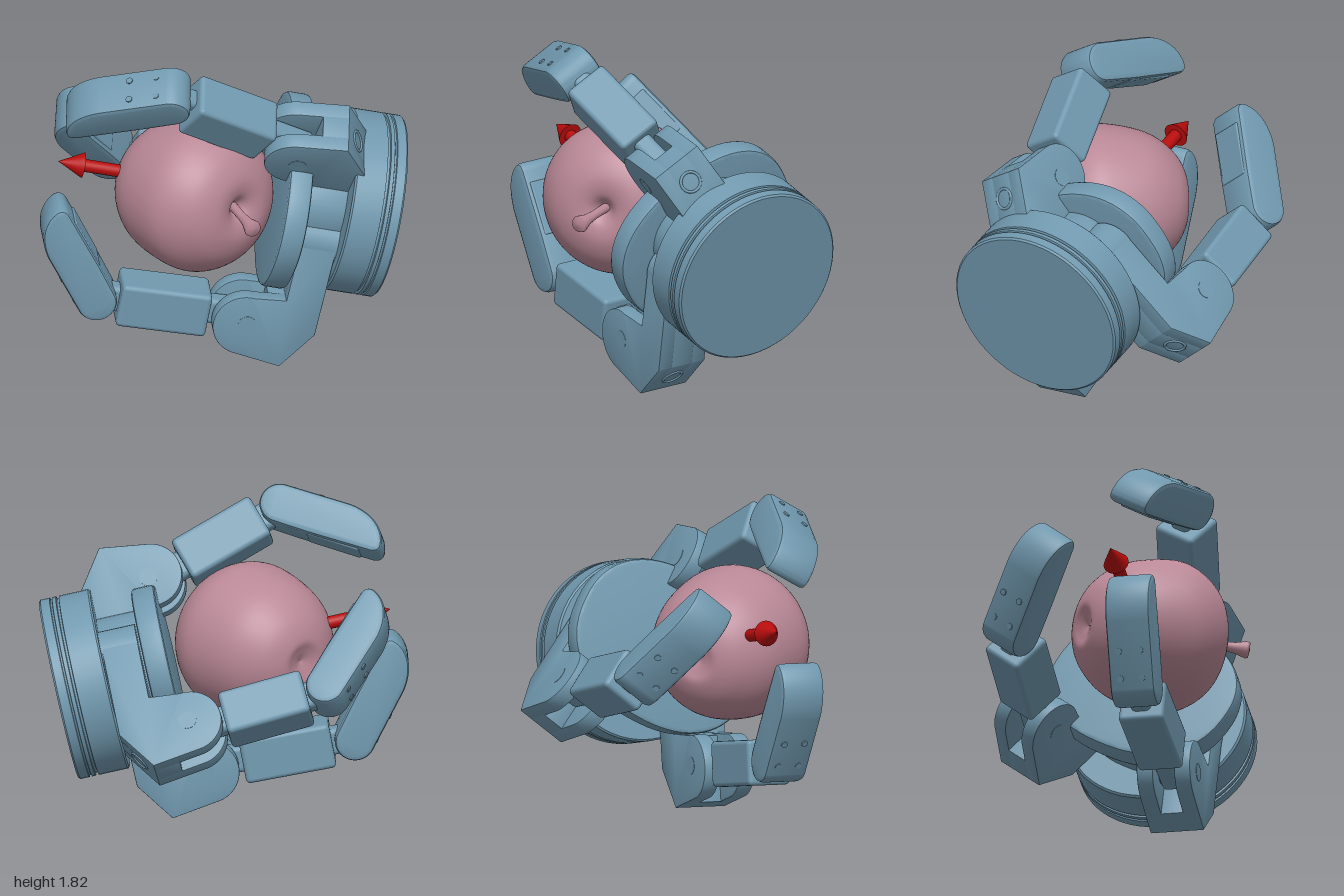
import * as THREE from 'three';
import { toCreasedNormals } from 'three/addons/utils/BufferGeometryUtils.js';
import { RoundedBoxGeometry } from 'three/addons/geometries/RoundedBoxGeometry.js';

const V = (x, y, z) => new THREE.Vector3(x, y, z);
const metal = new THREE.MeshStandardMaterial({ color: 0x7199af });
const skin = new THREE.MeshStandardMaterial({ color: 0xb98896 });
const red = new THREE.MeshStandardMaterial({ color: 0xb80c0c });

function add(parent, name, geo, mat = metal, pos = [0, 0, 0]) {
  const m = new THREE.Mesh(geo, mat);
  m.name = name;
  m.position.set(...pos);
  parent.add(m);
  return m;
}

// Bevelled plate of the given thickness, centred on z = 0
function plate(shape, depth, bevel = 0.006) {
  const g = new THREE.ExtrudeGeometry(shape, {
    depth: depth - 2 * bevel, bevelThickness: bevel, bevelSize: bevel, bevelOffset: -bevel,
    bevelSegments: 2, curveSegments: 20,
  });
  g.translate(0, 0, bevel - depth / 2);
  return toCreasedNormals(g, 0.6);
}

const polygon = pts => new THREE.Shape(pts.map(p => new THREE.Vector2(...p)));

// Lathe around y from [radius, height] pairs
const lathe = (pts, segs = 64) =>
  new THREE.LatheGeometry(pts.map(p => new THREE.Vector2(...p)), segs);

// Pair of screw heads on a surface facing along y
function screws(parent, x, y, spread) {
  for (const z of [-spread, spread])
    add(parent, 'screw', new THREE.CylinderGeometry(0.018, 0.018, 0.012, 12), metal, [x, y, z]);
}

// Group at point a, with its x axis aimed at point b
function aimed(parent, name, a, b) {
  const g = new THREE.Group();
  g.name = name;
  g.position.set(a[0], a[1], 0);
  g.rotation.z = Math.atan2(b[1] - a[1], b[0] - a[0]);
  parent.add(g);
  return [g, Math.hypot(b[0] - a[0], b[1] - a[1])];
}

// Finger in its own plane: x is the reach outwards, y the distance from the base
function finger(name, joint2, tip, swivel) {
  const f = new THREE.Group();
  f.name = name;
  const joint1 = [0.52, 0.65];
  const root = swivel ? 0 : 0.2;

  // Knuckle: two cheeks holding the joint and a solid core between them
  const cheek = new THREE.Shape();
  cheek.moveTo(root, 0.27);
  cheek.lineTo(0.52, 0.27);
  cheek.lineTo(0.74, 0.42);
  cheek.absarc(joint1[0] + 0.01, joint1[1] + 0.01, 0.175, 0.2, Math.PI + 0.1, false);
  cheek.lineTo(0.34, 0.47);
  cheek.lineTo(root, 0.47);
  cheek.closePath();
  for (const s of [-1, 1]) add(f, 'knuckleCheek', plate(cheek, 0.09), metal, [0, 0, s * 0.105]);
  add(f, 'knuckleCore', plate(polygon([[root, 0.27], [0.52, 0.27], [0.74, 0.42], [0.72, 0.56],
    [0.36, 0.56], [0.34, 0.47], [root, 0.47]]), 0.14));
  if (swivel) add(f, 'swivelPost', new THREE.CylinderGeometry(0.15, 0.15, 0.24, 32), metal, [0, 0.35, 0]);
  const socket = add(f, 'cableSocket', new THREE.TorusGeometry(0.055, 0.008, 8, 24), metal, [0.63, 0.345, 0]);
  socket.quaternion.setFromUnitVectors(V(0, 0, 1), V(0.15, -0.22, 0).normalize());

  // Middle link: narrow bar inside a boxed shell
  const [mid, len] = aimed(f, 'middleLink', joint1, joint2);
  add(mid, 'linkBar', new RoundedBoxGeometry(len + 0.12, 0.15, 0.11, 2, 0.03), metal, [len / 2, 0, 0]);
  add(mid, 'linkShell', new RoundedBoxGeometry(len * 0.6, 0.25, 0.25, 2, 0.025), metal, [len * 0.55, 0, 0]);
  add(mid, 'knucklePin', new THREE.CylinderGeometry(0.05, 0.05, 0.304, 20).rotateX(Math.PI / 2));

  // Fingertip: round at the joint, tapering and hooking inwards at the end
  const [end, reach] = aimed(f, 'fingertip', joint2, tip);
  const e = reach - 0.01;
  const s = new THREE.Shape();
  s.absarc(0, 0, 0.11, Math.PI / 2, Math.PI * 1.5, false);
  s.lineTo(e - 0.24, -0.115);
  s.bezierCurveTo(e - 0.12, -0.11, e - 0.02, -0.05, e, 0.05);
  s.quadraticCurveTo(e + 0.005, 0.1, e - 0.05, 0.105);
  s.lineTo(0.2, 0.112);
  s.closePath();
  add(end, 'tipShell', plate(s, 0.25, 0.025));
  add(end, 'gripPad', new RoundedBoxGeometry(0.3, 0.03, 0.2, 2, 0.01), metal, [0.34, 0.101, 0]);
  screws(end, 0.05, -0.11, 0.06);
  screws(end, 0.2, -0.114, 0.06);
  return f;
}

// Rounded-square outline with half sizes a and b
function oval(a, b, n) {
  const pts = [];
  const c = (t, h) => Math.sign(t) * Math.abs(t) ** (2 / n) * h;
  for (let i = 0; i < 64; i++) {
    const t = i / 64 * Math.PI * 2;
    pts.push([c(Math.cos(t), a), c(Math.sin(t), b)]);
  }
  return polygon(pts);
}

export function createModel() {
  const model = new THREE.Group();
  model.name = 'gripperHoldingApple';

  // Hand frame: y is the reaching axis, x points to the single finger
  const hand = new THREE.Group();
  hand.name = 'gripper';
  const d = V(-0.747, 0.219, -0.628).normalize();
  const z = V(-0.2, 0.83, 0.53).cross(d).normalize();
  const x = d.clone().cross(z);
  hand.quaternion.setFromRotationMatrix(new THREE.Matrix4().makeBasis(x, d, z));
  hand.position.set(0.665, 0.77, 0.54);
  model.add(hand);

  // Round base with grooves
  add(hand, 'baseDisc', toCreasedNormals(lathe([[0, -0.02], [0.49, -0.02], [0.5, -0.01], [0.5, 0.04],
    [0.49, 0.043], [0.49, 0.052], [0.5, 0.055], [0.5, 0.075], [0.485, 0.078], [0.485, 0.09],
    [0.5, 0.093], [0.5, 0.255], [0.49, 0.265], [0, 0.265]]), 0.4));
  // Body and palm
  add(hand, 'body', plate(oval(0.32, 0.33, 2.5), 0.28).rotateX(-Math.PI / 2), metal, [0, 0.38, 0]);
  add(hand, 'palm', plate(oval(0.43, 0.55, 2.3), 0.13, 0.02).rotateX(-Math.PI / 2), metal, [0, 0.55, 0]);

  // One fixed finger and two swivelling ones
  const upper = finger('upperFinger', [0.775, 1.43], [0.46, 1.96], false);
  upper.position.set(-0.05, -0.06, 0);
  const low = finger('lowerFinger', [0.55, 1.48], [0.07, 1.866], true);
  low.position.z = 0.27;
  low.rotation.y = Math.PI + 0.52;
  const back = finger('backFinger', [0.475, 1.425], [0.02, 1.83], true);
  back.position.set(0.04, 0, -0.29);
  back.rotation.y = Math.PI - 0.15;
  hand.add(upper, low, back);

  // Apple with its core axis towards the front
  const apple = new THREE.Group();
  apple.name = 'apple';
  apple.position.set(-0.245, 0.98, -0.01);
  apple.quaternion.setFromUnitVectors(V(0, 1, 0), V(-0.03, 0.05, 1).normalize());
  const curve = new THREE.SplineCurve([[0, -0.38], [0.07, -0.405], [0.14, -0.415], [0.26, -0.35],
    [0.37, -0.2], [0.42, 0.03], [0.4, 0.17], [0.31, 0.3], [0.19, 0.365], [0.09, 0.36],
    [0.03, 0.31], [0, 0.27]].map(p => new THREE.Vector2(...p)));
  const outline = curve.getPoints(60).map(p => [Math.max(p.x, 0), p.y]);
  add(apple, 'appleFlesh', lathe(outline), skin);
  model.add(apple);
  const stem = add(model, 'appleStem', lathe([[0, 0], [0.026, 0], [0.024, 0.13], [0.03, 0.2],
    [0.048, 0.265], [0.042, 0.28], [0, 0.285]], 20), skin, [-0.245, 1.0, 0.27]);
  stem.quaternion.setFromUnitVectors(V(0, 1, 0), V(-0.36, -0.14, 1).normalize());

  // Arrow leaving the apple along the reaching axis
  const arrow = new THREE.Group();
  arrow.name = 'arrow';
  arrow.position.set(-0.77, 1.175, -0.53);
  arrow.quaternion.setFromUnitVectors(V(0, 1, 0), d);
  add(arrow, 'arrowHead', new THREE.ConeGeometry(0.07, 0.14, 24), red, [0, -0.07, 0]);
  add(arrow, 'arrowShaft', new THREE.CylinderGeometry(0.035, 0.035, 0.3, 20), red, [0, -0.29, 0]);
  model.add(arrow);
  return model;
}
